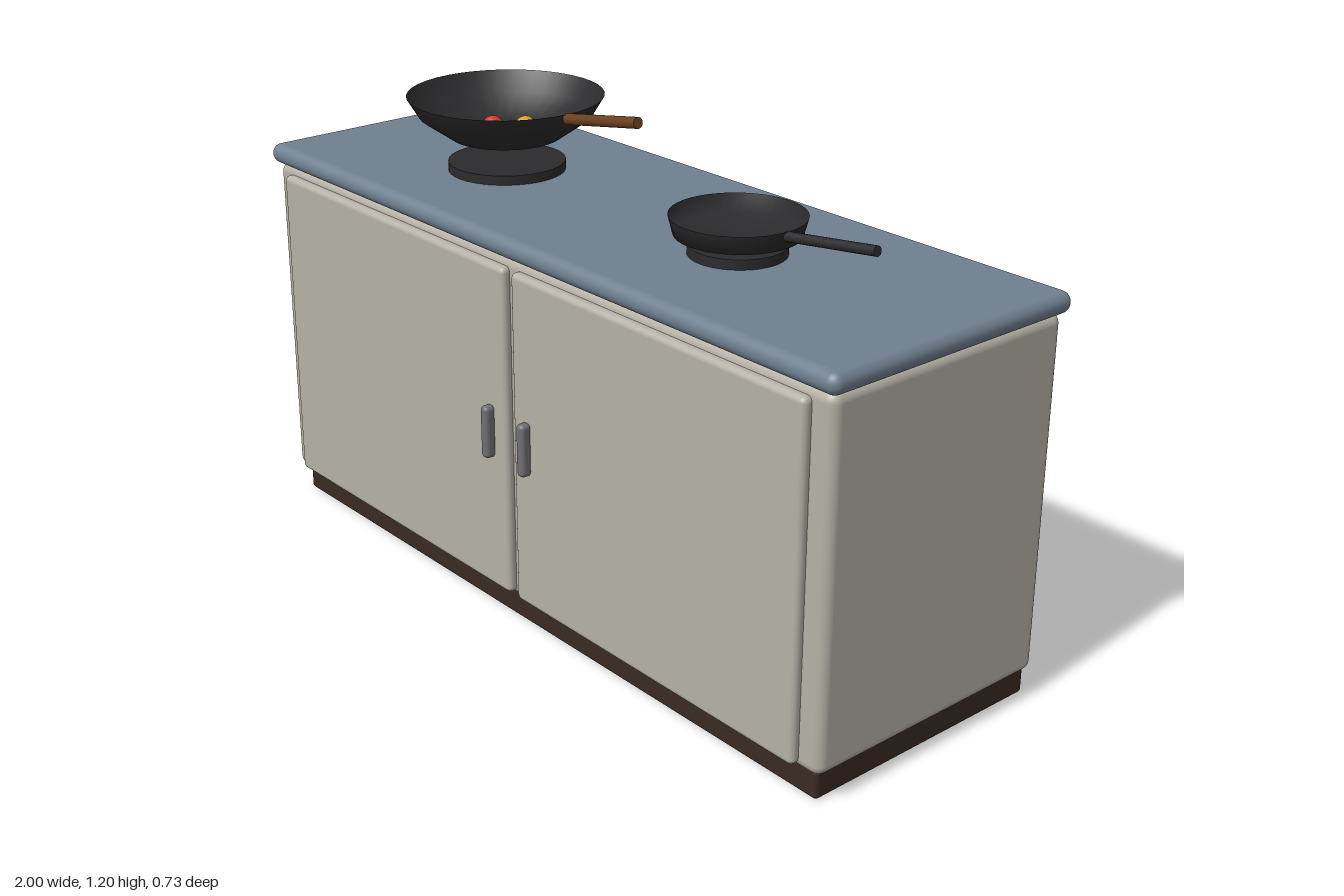
import * as THREE from 'three';
import { RoundedBoxGeometry } from 'three/addons/geometries/RoundedBoxGeometry.js';

const paint = (color, side = THREE.FrontSide) => new THREE.MeshStandardMaterial({ color, side });

export function createModel() {
  const model = new THREE.Group();
  model.name = 'kitchenCounter';

  const cabinetPaint = paint(0xb5b1a5);
  const counterPaint = paint(0x708090);
  const basePaint = paint(0x3a2a22);
  const metal = paint(0x707074);
  const iron = paint(0x2b2b2d);
  const panIron = paint(0x2b2b2d, THREE.DoubleSide);
  const wood = paint(0x6b3e1f);

  const add = (name, geometry, material, x = 0, y = 0, z = 0) => {
    const mesh = new THREE.Mesh(geometry, material);
    mesh.name = name;
    mesh.position.set(x, y, z);
    model.add(mesh);
    return mesh;
  };

  // Rounded box given by its low and high corners
  const block = (name, lo, hi, radius, material) => {
    const size = hi.map((h, i) => h - lo[i]);
    const mid = hi.map((h, i) => (h + lo[i]) / 2);
    return add(name, new RoundedBoxGeometry(...size, 4, radius), material, ...mid);
  };

  // Round bar between two points
  const bar = (name, from, to, radius, material) => {
    const a = new THREE.Vector3(...from);
    const b = new THREE.Vector3(...to);
    const mesh = add(name, new THREE.CylinderGeometry(radius, radius, a.distanceTo(b), 16), material);
    mesh.position.copy(a).add(b).multiplyScalar(0.5);
    mesh.quaternion.setFromUnitVectors(new THREE.Vector3(0, 1, 0), b.sub(a).normalize());
    return mesh;
  };

  // Open dish turned from a few profile points
  const dish = (name, profile, x) => add(
    name,
    new THREE.LatheGeometry(profile.map(([r, y]) => new THREE.Vector2(r, y)), 40),
    panIron, x, 0, potZ
  );

  // Cabinet
  block('base', [-0.96, 0, -0.352], [0.96, 0.07, 0.3], 0.01, basePaint);
  block('cabinetBody', [-0.984, 0.07, -0.352], [0.984, 0.918, 0.321], 0.025, cabinetPaint);
  block('countertop', [-1, 0.915, -0.365], [1, 0.965, 0.337], 0.0245, counterPaint);

  // Doors and their pulls, mirrored
  for (const [label, s] of [['left', 1], ['right', -1]]) {
    const span = (a, b) => (s > 0 ? [a, b] : [-b, -a]);
    const [d0, d1] = span(0.013, 0.928);
    block(label + 'Door', [d0, 0.083, 0.312], [d1, 0.898, 0.343], 0.014, cabinetPaint);
    const [h0, h1] = span(0.054, 0.08);
    block(label + 'DoorHandle', [h0, 0.425, 0.338], [h1, 0.555, 0.368], 0.011, metal);
  }

  // Burners
  const potZ = 0.005;
  const wokX = -0.437;
  const panX = 0.383;
  add('wokBurner', new THREE.CylinderGeometry(0.143, 0.143, 0.026, 40), iron, wokX, 0.975, potZ);
  add('panBurner', new THREE.CylinderGeometry(0.11, 0.11, 0.026, 40), iron, panX, 0.975, potZ);

  // Wok with wooden handle
  dish('wok', [[0, 1.012], [0.135, 1.049], [0.21, 1.102], [0.239, 1.15]], wokX);
  bar('wokHandle', [-0.2, 1.138, potZ], [0.053, 1.183, potZ], 0.0135, wood);

  // Frying pan with iron handle
  dish('fryingPan', [[0, 1.0], [0.141, 1.01], [0.152, 1.053]], panX);
  bar('fryingPanHandle', [0.53, 1.041, potZ], [0.786, 1.077, potZ], 0.0115, iron);

  // Vegetables in the wok
  const vegetables = [
    ['redVegetable', 0xd03a34, -0.482, 0.012],
    ['yellowVegetable', 0xd8a032, -0.428, -0.046],
    ['greenVegetable', 0x3a8f3c, -0.374, 0.012],
  ];
  for (const [name, color, x, z] of vegetables) {
    add(name, new THREE.SphereGeometry(0.026, 20, 14), paint(color), x, 1.062, z);
  }

  return model;
}
